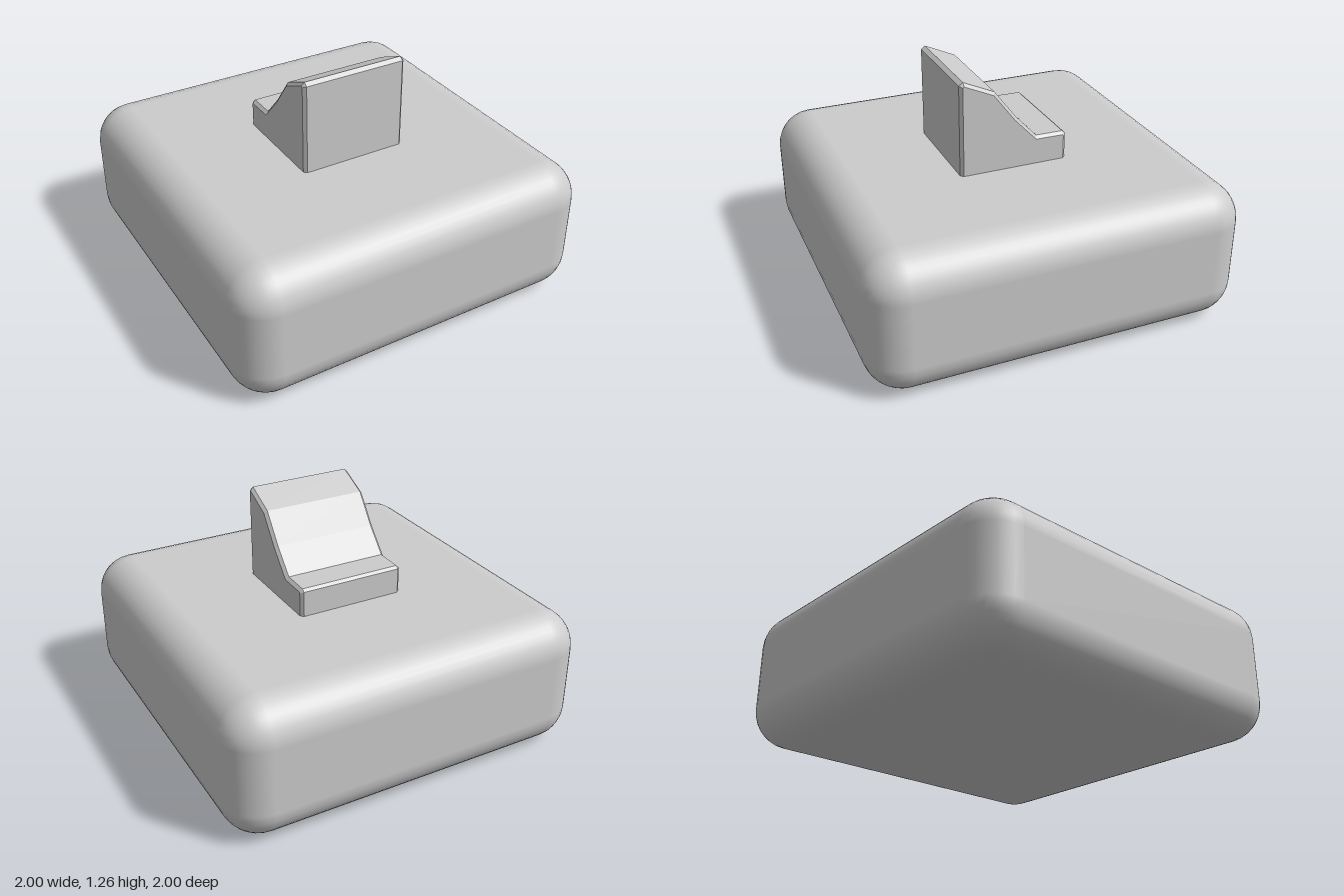
import * as THREE from 'three';
import { RoundedBoxGeometry } from 'three/addons/geometries/RoundedBoxGeometry.js';

const HEIGHT = 0.755, BEVEL = 0.016, WIDTH = 0.59;

export function createModel() {
  const group = new THREE.Group();
  const material = new THREE.MeshStandardMaterial({ color: 0xcccccc });

  // Wide pillow-edged block
  const base = new THREE.Mesh(new RoundedBoxGeometry(2, HEIGHT, 2, 4, 0.2), material);
  base.name = 'base';
  base.position.y = HEIGHT / 2;
  group.add(base);

  // Sloped wedge: (z, y) side profile extruded across x with chamfered edges
  const profile = [
    [-0.279, 0.7], [0.279, 0.7], [0.279, 1.24], [0.271, 1.246],
    [0.115, 1.175], [0.0, 1.023], [-0.122, 0.892], [-0.273, 0.89], [-0.279, 0.885],
  ];
  const shape = new THREE.Shape(profile.map(([z, y]) => new THREE.Vector2(z, y)));
  const depth = WIDTH - 2 * BEVEL;
  const geometry = new THREE.ExtrudeGeometry(shape, {
    depth, bevelEnabled: true, bevelSize: BEVEL, bevelThickness: BEVEL, bevelSegments: 1,
  });
  geometry.translate(0, 0, -depth / 2);
  geometry.rotateY(-Math.PI / 2);
  const wedge = new THREE.Mesh(geometry, material);
  wedge.name = 'wedge';
  group.add(wedge);

  return group;
}
